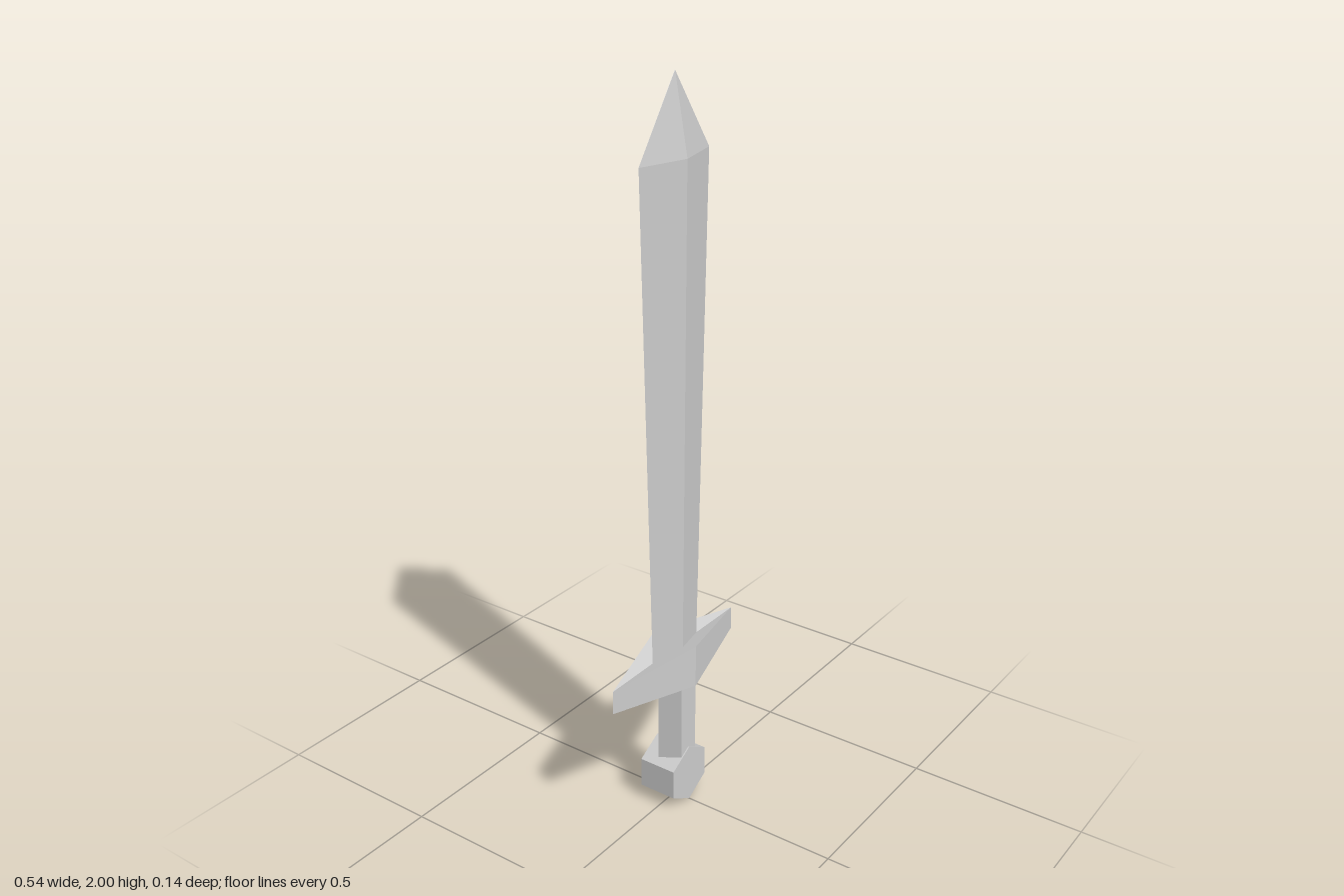
import * as THREE from 'three';

const material = new THREE.MeshStandardMaterial({ color: 0xcccccc, flatShading: true });

// Diamond cross-section, counter-clockwise from above; side and face corners may differ in height
function diamond(halfX, halfZ, sideY, faceY = sideY) {
  return [[halfX, sideY, 0], [0, faceY, -halfZ], [-halfX, sideY, 0], [0, faceY, halfZ]];
}

// Closed solid through a stack of diamonds, bottom to top
function loft(rings) {
  const index = [];
  const last = (rings.length - 1) * 4;
  for (let r = 0; r < last; r += 4) {
    for (let i = 0; i < 4; i++) {
      const j = (i + 1) % 4;
      index.push(r + i, r + j, r + 4 + j, r + i, r + 4 + j, r + 4 + i);
    }
  }
  // Caps are folded along the x axis
  index.push(0, 2, 1, 0, 3, 2, last, last + 1, last + 2, last, last + 2, last + 3);
  const geometry = new THREE.BufferGeometry();
  geometry.setAttribute('position', new THREE.Float32BufferAttribute(rings.flat(2), 3));
  geometry.setIndex(index);
  const flat = geometry.toNonIndexed();
  flat.computeVertexNormals();
  return flat;
}

export function createModel() {
  const group = new THREE.Group();
  const add = (name, geometry) => {
    const mesh = new THREE.Mesh(geometry, material);
    mesh.name = name;
    group.add(mesh);
    return mesh;
  };

  // Blade widens towards the shoulder, then closes to a point
  add('blade', loft([
    diamond(0.1, 0.026, 0.46),
    diamond(0.141, 0.036, 1.8),
    diamond(0.0005, 0.0005, 2),
  ]));

  // Crossguard is taller in the middle than at its ends
  add('crossguard', loft([
    diamond(0.272, 0.069, 0.405, 0.377),
    diamond(0.272, 0.069, 0.472, 0.499),
  ]));

  // Five-sided grip with a flat side to the front
  const grip = add('grip', new THREE.CylinderGeometry(0.056, 0.056, 0.32, 5, 1, false, Math.PI));
  grip.position.y = 0.26;

  // Hexagonal pommel lying front to back
  const pommel = add('pommel', new THREE.CylinderGeometry(0.086, 0.086, 0.11, 6).rotateX(Math.PI / 2));
  pommel.position.set(0, 0.086, -0.006);

  return group;
}
